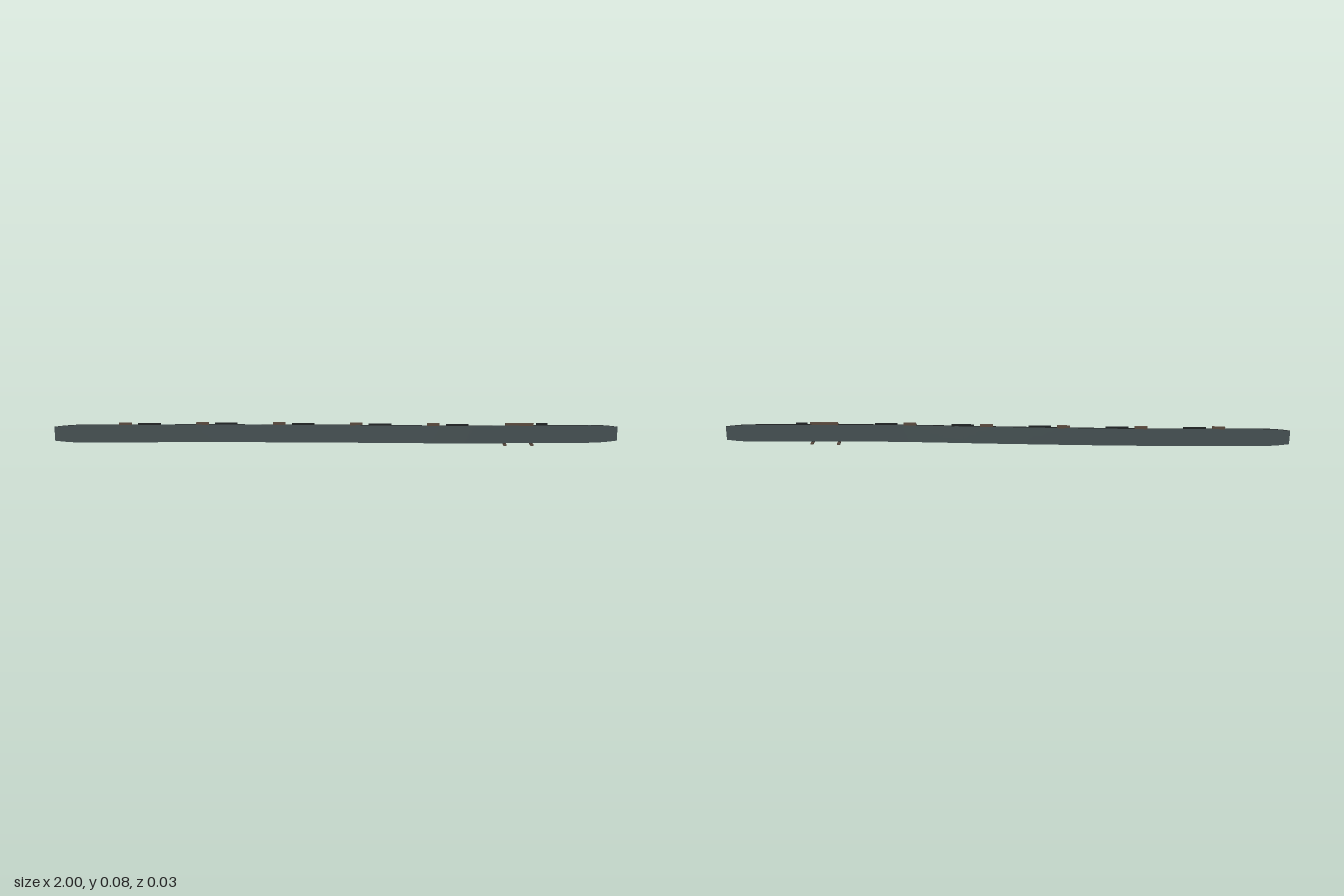
import * as THREE from 'three';

const slate = new THREE.MeshStandardMaterial({ color: 0x465153 });
const dark = new THREE.MeshStandardMaterial({ color: 0x1f2223 });
const brown = new THREE.MeshStandardMaterial({ color: 0x5a4a3e });

// gentle sideways wave along the length
const wavePath = new THREE.CatmullRomCurve3(
  [[-1, 0.003], [-0.75, -0.002], [-0.45, -0.008], [0, -0.003], [0.4, 0.006], [0.6, 0.003], [1, -0.009]]
    .map(([x, z]) => new THREE.Vector3(x, 0, z)));
const wavePoints = wavePath.getPoints(200);
function waveZ(x) {
  const i = Math.max(1, wavePoints.findIndex((p) => p.x >= x - 1e-6));
  const a = wavePoints[i - 1], b = wavePoints[i];
  return THREE.MathUtils.mapLinear(x, a.x, b.x, a.z, b.z);
}

// long thin panel, narrowing at both ends, with dark edges
function createPanel() {
  const geometry = new THREE.BoxGeometry(2, 0.064, 0.007, 80, 4, 1);
  const p = geometry.attributes.position;
  for (let i = 0; i < p.count; i++) {
    const x = p.getX(i);
    const t = Math.max(0, (Math.abs(x) - 0.9) / 0.1);
    p.setY(i, 0.04 + p.getY(i) * (1 - 0.22 * t * t));
    p.setZ(i, p.getZ(i) * (1 - 0.3 * t) + waveZ(x));
  }
  geometry.computeVertexNormals();
  const mesh = new THREE.Mesh(geometry, [slate, slate, dark, dark, slate, slate]);
  mesh.name = 'panel';
  return mesh;
}

function addBar(parent, name, material, x0, x1, y0, y1, depth, z) {
  const mesh = new THREE.Mesh(new THREE.BoxGeometry(x1 - x0, y1 - y0, depth), material);
  mesh.position.set((x0 + x1) / 2, (y0 + y1) / 2, z);
  mesh.name = name;
  parent.add(mesh);
}

export function createModel() {
  const group = new THREE.Group();
  group.name = 'longPanel';
  group.add(createPanel());

  // repeated pairs of top clips: a short one and a longer one
  for (let i = 0; i < 5; i++) {
    const x = -0.77 + i * 0.273;
    addBar(group, 'shortClip', brown, x, x + 0.045, 0.071, 0.08, 0.007, waveZ(x + 0.02));
    addBar(group, 'longClip', dark, x + 0.067, x + 0.147, 0.071, 0.078, 0.005, waveZ(x + 0.1));
  }
  addBar(group, 'topBar', brown, 0.6, 0.7, 0.071, 0.08, 0.007, waveZ(0.65));
  addBar(group, 'shortClip', dark, 0.71, 0.75, 0.071, 0.079, 0.005, waveZ(0.73));

  // two small cross feet under the panel
  for (const x of [0.6, 0.695]) {
    addBar(group, 'crossFoot', brown, x - 0.005, x + 0.005, 0, 0.006, 0.028, 0.0005);
    addBar(group, 'footStem', dark, x - 0.003, x + 0.003, 0.004, 0.012, 0.005, waveZ(x));
  }
  return group;
}
